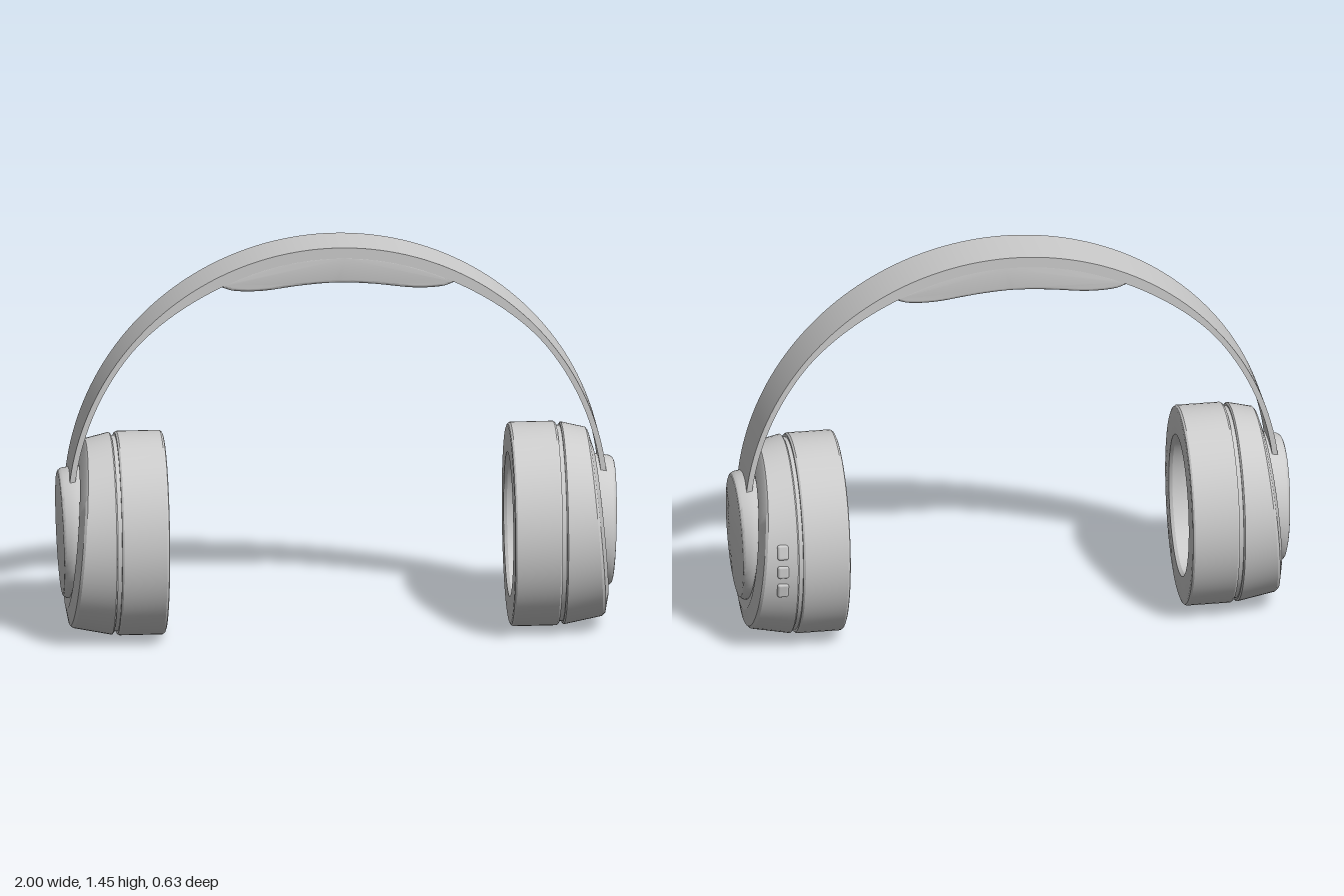
import * as THREE from 'three';
import { toCreasedNormals } from 'three/addons/utils/BufferGeometryUtils.js';
import { RoundedBoxGeometry } from 'three/addons/geometries/RoundedBoxGeometry.js';

const material = new THREE.MeshStandardMaterial({ color: 0xcccccc });

function addMesh(parent, name, geometry) {
  const mesh = new THREE.Mesh(geometry, material);
  mesh.name = name;
  parent.add(mesh);
  return mesh;
}

// Skin over elliptical sections along x: [x, radiusY, radiusZ, centreY, tilt dx/dy]
function loft(sections, sides = 72) {
  const positions = [], index = [];
  sections.forEach(([x, ry, rz, cy, tilt = 0], i) => {
    for (let j = 0; j < sides; j++) {
      const a = (j / sides) * Math.PI * 2;
      const y = Math.cos(a) * ry;
      positions.push(x + tilt * y, cy + y, Math.sin(a) * rz);
      if (i === sections.length - 1) continue;
      const p = i * sides + j, q = i * sides + ((j + 1) % sides);
      if (ry > 0) index.push(p, q, p + sides);
      if (sections[i + 1][1] > 0) index.push(q, q + sides, p + sides);
    }
  });
  const geometry = new THREE.BufferGeometry();
  geometry.setAttribute('position', new THREE.Float32BufferAttribute(positions, 3));
  geometry.setIndex(index);
  return toCreasedNormals(geometry, 0.5);
}

// Extrude an x/y outline symmetrically about z = 0
function slab(points, halfWidth, bevel = 0) {
  const geometry = new THREE.ExtrudeGeometry(new THREE.Shape(points), {
    depth: 2 * (halfWidth - bevel), bevelEnabled: bevel > 0, bevelSize: bevel,
    bevelThickness: bevel, bevelOffset: -bevel, bevelSegments: 4,
  });
  geometry.translate(0, 0, -(halfWidth - bevel));
  return toCreasedNormals(geometry, 0.5);
}

// Headband arc: outer radius R about height CY, thicker at the crown
const R = 0.971, CY = 0.477;
const thickness = a => 0.02 + 0.02 * THREE.MathUtils.smoothstep(Math.sin(a), 0.6, 0.95);
const arcPoint = (a, r) => new THREE.Vector2(Math.cos(a) * r, CY + Math.sin(a) * r);

function createHeadband() {
  const outer = [], inner = [], steps = 96;
  for (let i = 0; i <= steps; i++) {
    const a = THREE.MathUtils.lerp(0.03, Math.PI - 0.03, i / steps);
    outer.push(arcPoint(a, R));
    inner.unshift(arcPoint(a, R - thickness(a)));
  }
  return slab([...outer, ...inner], 0.094);
}

function createPad() {
  // Wavy underside from left to right, closed along the inside of the band
  const half = [[0.42, 1.308], [0.37, 1.292], [0.27, 1.29], [0.13, 1.307]];
  const path = [
    ...half.map(([x, y]) => new THREE.Vector2(-x, y)),
    new THREE.Vector2(0, 1.315),
    ...half.map(([x, y]) => new THREE.Vector2(x, y)).reverse(),
  ];
  const points = new THREE.SplineCurve(path).getPoints(48);
  for (let i = 0; i <= 32; i++) {
    const a = THREE.MathUtils.lerp(1.125, Math.PI - 1.125, i / 32);
    points.push(arcPoint(a, R - 0.03));
  }
  return slab(points, 0.09, 0.012);
}

function createEarcup() {
  const cup = new THREE.Group();
  const cy = 0.371;
  const ring = (x, ry, ratio = 0.845) => [x, ry, ry * ratio, cy];

  // Ear cushion with a stepped hollow, from the floor round to the back
  addMesh(cup, 'earCushion', loft([
    ring(0.785, 0), ring(0.785, 0.235), ring(0.762, 0.238), ring(0.76, 0.255),
    ring(0.632, 0.255), ring(0.62, 0.263), ring(0.62, 0.358), ring(0.623, 0.366),
    ring(0.63, 0.371), ring(0.785, 0.371), ring(0.792, 0.366), ring(0.792, 0),
  ]));

  // Narrow recessed joint
  addMesh(cup, 'joint', loft([
    ring(0.788, 0), ring(0.788, 0.356), ring(0.814, 0.356), ring(0.814, 0),
  ]));

  // Outer shell with a slanted face
  addMesh(cup, 'shell', loft([
    [0.807, 0, 0, cy], [0.807, 0.362, 0.306, cy], [0.812, 0.368, 0.311, cy],
    [0.925, 0.343, 0.3, 0.374, -0.075], [0.934, 0.333, 0.293, 0.374, -0.082],
    [0.95, 0.27, 0.235, 0.372, -0.085], [0.945, 0.255, 0.222, 0.374, -0.085],
    [0.945, 0, 0, 0.374],
  ]));

  // Raised disc that holds the end of the band
  addMesh(cup, 'outerDisc', loft([
    [0.93, 0, 0, 0.38], [0.93, 0.242, 0.214, 0.382, -0.09],
    [0.955, 0.24, 0.212, 0.38, -0.07], [0.982, 0.234, 0.204, 0.379, 0.015],
    [0.99, 0.228, 0.197, 0.378, 0.025], [0.993, 0.22, 0.189, 0.378, 0.03],
    [0.993, 0, 0, 0.378],
  ]));
  return cup;
}

export function createModel() {
  const model = new THREE.Group();
  model.name = 'headphones';

  addMesh(model, 'headband', createHeadband());
  addMesh(model, 'headbandPad', createPad());

  const leftCup = createEarcup();
  leftCup.name = 'leftEarcup';
  const rightCup = createEarcup();
  rightCup.name = 'rightEarcup';
  rightCup.rotation.y = Math.PI;
  model.add(leftCup, rightCup);

  // Three control buttons on the back of the left shell
  for (let i = -1; i <= 1; i++) {
    const a = i * 0.21;
    const button = addMesh(leftCup, 'button',
      new RoundedBoxGeometry(0.042, i === 0 ? 0.05 : 0.058, 0.03, 3, 0.01));
    button.position.set(0.865, 0.365 + Math.sin(a) * 0.355, -Math.cos(a) * 0.297);
    button.rotation.set(a * 0.85, 0, 0);
  }
  return model;
}
